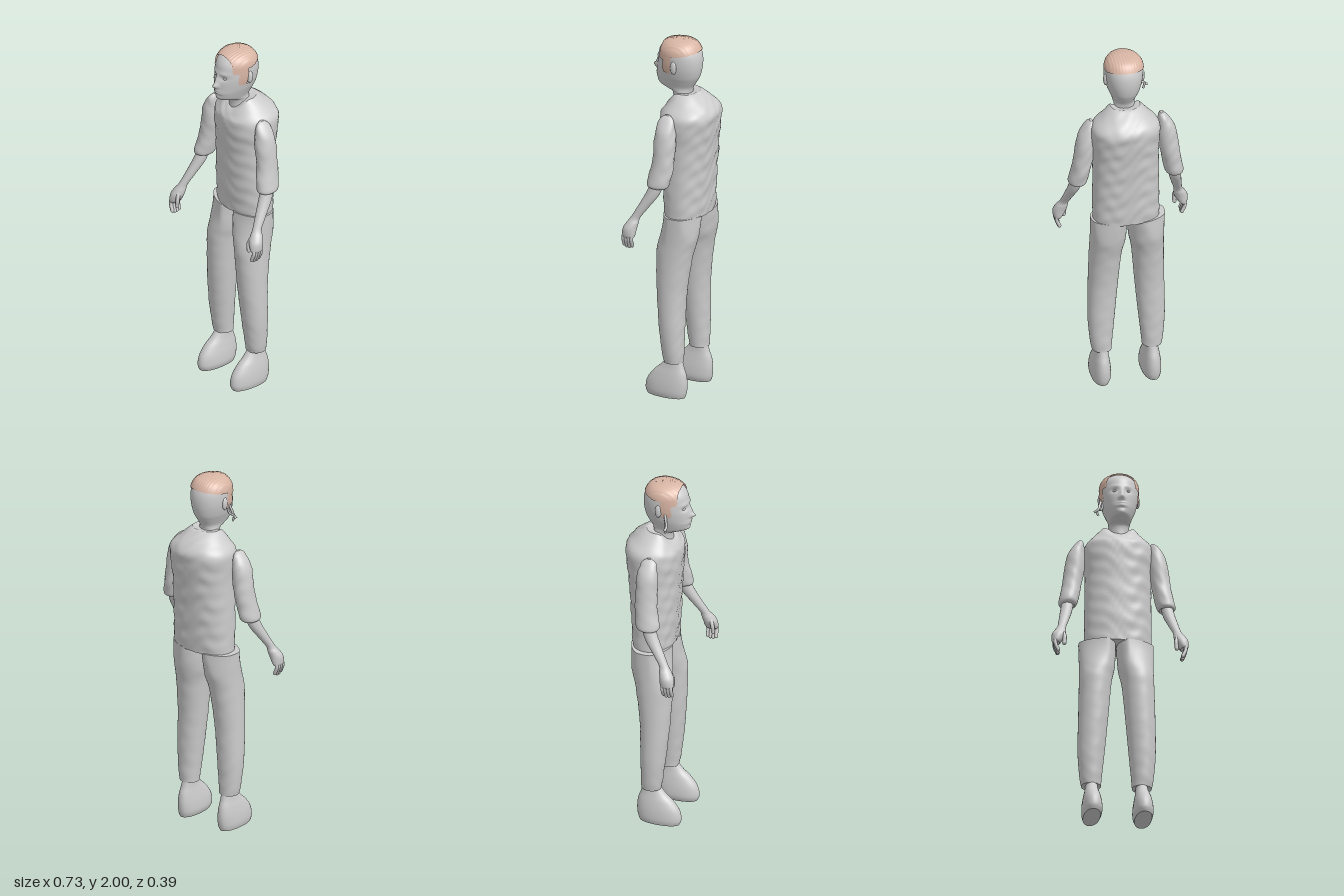
import * as THREE from 'three';

const grey = new THREE.MeshStandardMaterial({ color: 0xcccccc });
grey.name = 'plain grey';
const peach = new THREE.MeshStandardMaterial({ color: 0xd9b6a5, side: THREE.DoubleSide });
peach.name = 'peach hair';

// Smooth skin through horizontal sections [y, xMin, xMax, zMin, zMax].
// side -1 mirrors it; bend(p, angle) shapes vertices; keep(p) trims faces.
function loft(sections, { side = 1, seg = 32, sub = 5, power = 2, bend, keep } = {}) {
  const rows = sections.map(([y, a, b, c, d]) => (side > 0 ? [y, a, b, c, d] : [y, -b, -a, c, d]))
    .sort((p, q) => p[0] - q[0]);
  const pos = [], index = [], last = (rows.length - 1) * sub;
  const at = (i, k) => rows[Math.min(rows.length - 1, Math.max(0, i))][k];
  const round = v => Math.sign(v) * Math.abs(v) ** (2 / power);
  for (let r = 0; r <= last; r++) {
    const i = Math.min(rows.length - 2, Math.floor(r / sub)), t = r / sub - i;
    const [y, x0, x1, z0, z1] = [0, 1, 2, 3, 4].map(k => {
      const p = at(i - 1, k), a = at(i, k), b = at(i + 1, k), q = at(i + 2, k);
      return a + 0.5 * t * (b - p + t * (2 * p - 5 * a + 4 * b - q + t * (3 * (a - b) + q - p)));
    });
    for (let j = 0; j < seg; j++) {
      const angle = j / seg * Math.PI * 2;
      const p = new THREE.Vector3(
        (x0 + x1) / 2 + (x1 - x0) / 2 * round(Math.cos(angle)), y,
        (z0 + z1) / 2 + (z1 - z0) / 2 * round(Math.sin(angle)));
      if (bend) bend(p, angle);
      pos.push(p.x, p.y, p.z);
    }
  }
  const kept = (...ids) => !keep || ids.every(n => keep({ x: pos[n * 3], y: pos[n * 3 + 1], z: pos[n * 3 + 2] }));
  for (let r = 0; r < last; r++) for (let j = 0; j < seg; j++) {
    const a = r * seg + j, b = r * seg + (j + 1) % seg, c = a + seg, d = b + seg;
    if (kept(a, b, c, d)) index.push(a, c, b, b, c, d);
  }
  // End caps with their own vertices, so that the rims stay sharp
  for (const r of [0, last]) {
    if (keep && r === 0) continue;
    const start = pos.length / 3, mid = [0, 0, 0];
    for (let j = 0; j < seg; j++) for (let k = 0; k < 3; k++) {
      const v = pos[(r * seg + j) * 3 + k];
      pos.push(v);
      mid[k] += v / seg;
    }
    pos.push(...mid);
    for (let j = 0; j < seg; j++) {
      const a = start + j, b = start + (j + 1) % seg;
      index.push(start + seg, ...(r === 0 ? [a, b] : [b, a]));
    }
  }
  const g = new THREE.BufferGeometry();
  g.setAttribute('position', new THREE.Float32BufferAttribute(pos, 3));
  g.setIndex(index);
  g.computeVertexNormals();
  return g;
}

function tube(points, radius) {
  const curve = new THREE.CatmullRomCurve3(points.map(p => new THREE.Vector3(...p)));
  return new THREE.TubeGeometry(curve, 10, radius, 8);
}

const bump = (d, width) => Math.exp(-((d / width) ** 2));

const TORSO = [
  [1.03, -.168, .188, -.145, .075], [1.15, -.168, .19, -.153, .085], [1.3, -.166, .188, -.162, .092],
  [1.45, -.164, .19, -.176, .1], [1.55, -.17, .2, -.188, .108], [1.61, -.165, .192, -.19, .102],
  [1.66, -.122, .144, -.152, .088], [1.7, -.082, .102, -.1, .065], [1.71, -.07, .09, -.08, .055]];
const LEG = [
  [1.035, .002, .2, -.145, .095], [.9, .009, .198, -.125, .1], [.8, .028, .2, -.1, .1], [.6, .046, .205, -.072, .09],
  [.4, .064, .208, -.065, .072], [.26, .078, .198, -.062, .055], [.2, .083, .188, -.06, .045]];
const FOOT = [
  [0, .092, .183, -.072, .15], [.03, .082, .19, -.082, .16], [.08, .084, .188, -.086, .15], [.13, .092, .18, -.08, .115],
  [.17, .099, .171, -.066, .072], [.21, .102, .165, -.055, .042], [.25, .103, .164, -.05, .035]];
const SLEEVE = [
  [1.625, .183, .198, -.014, .014], [1.6, .174, .225, -.042, .042], [1.54, .17, .262, -.057, .055],
  [1.45, .172, .28, -.062, .058], [1.37, .188, .29, -.06, .06], [1.3, .2, .303, -.055, .074],
  [1.25, .213, .312, -.045, .08], [1.235, .225, .3, -.03, .065]];
const FOREARM = [
  [1.29, .23, .29, -.025, .045], [1.2, .241, .305, .003, .08], [1.12, .265, .319, .058, .12],
  [1.06, .285, .331, .1, .152], [1.03, .287, .35, .106, .172], [1, .292, .364, .112, .188], [.965, .31, .364, .116, .192],
  [.95, .322, .358, .122, .186]];
const HEAD = [
  [1.62, -.045, .065, -.05, .06], [1.7, -.045, .065, -.045, .065], [1.718, -.047, .067, -.047, .105],
  [1.735, -.052, .072, -.053, .145], [1.77, -.066, .086, -.074, .16], [1.8, -.077, .097, -.088, .159],
  [1.85, -.088, .108, -.098, .156], [1.9, -.091, .111, -.098, .147], [1.94, -.087, .107, -.087, .136],
  [1.97, -.069, .089, -.067, .112], [1.986, -.04, .06, -.038, .08], [1.993, -.004, .024, .01, .04]];

// Cloth creases
const crease = size => p => {
  const w = Math.sin(p.y * 62 + p.x * 23 + Math.sin(p.x * 31) * 2) * Math.sin(p.x * 38 + p.z * 27 + p.y * 17);
  p.z += size * w;
};

// Shirt with a neckline that dips at the front
function shirt(p, angle) {
  crease(.0035)(p);
  if (p.y > 1.6) p.y -= (p.y - 1.6) * .5 * Math.max(0, Math.sin(angle)) ** 2;
}

// Trouser leg whose top follows the oval of the waist
function trouser(p) {
  crease(.0012)(p);
  const blend = THREE.MathUtils.smoothstep(p.y, .8, 1.03);
  const half = .117 * Math.sqrt(Math.max(0, 1 - (p.x / .206) ** 2));
  const fitted = THREE.MathUtils.clamp(p.z, -.032 - half, -.032 + half);
  p.z += (fitted - p.z) * blend;
}

// Skull narrowing to the front
function narrow(p, angle) {
  p.x -= (p.x - .01) * .13 * Math.max(0, Math.sin(angle));
}

// Brow, eye sockets, nose, lips and chin
function face(p, angle) {
  narrow(p, angle);
  if (Math.sin(angle) < 0 || p.y < 1.71) return;
  const x = p.x - .01, y = p.y, ex = Math.abs(x) - .034;
  p.z += .026 * bump(x, .016) * bump(y - 1.82, .015) + .013 * bump(x, .012) * bump(y - 1.85, .025)
    - .011 * bump(ex, .02) * bump(y - 1.867, .013) + .004 * bump(ex, .03) * bump(y - 1.893, .01)
    + .006 * bump(x, .022) * bump(y - 1.791, .006) + .005 * bump(x, .02) * bump(y - 1.776, .006)
    - .004 * bump(x, .028) * bump(y - 1.762, .007) + .006 * bump(x, .022) * bump(y - 1.737, .012);
}

// Hair combed front to back
function comb(p, angle) {
  narrow(p, angle);
  p.y += .001 * Math.sin(p.x * 420);
}

const hairline = p => p.z < .112 && (p.y > 1.922 + Math.max(0, -p.z) * .2
  || (p.z > .025 && p.z < .085 && p.y > 1.825) || (p.z > .025 && p.y > 1.895));

export function createModel() {
  const model = new THREE.Group();
  model.name = 'standingMan';
  const add = (name, geometry, material = grey) => {
    const mesh = new THREE.Mesh(geometry, material);
    mesh.name = name;
    model.add(mesh);
    return mesh;
  };

  add('shirt', loft(TORSO, { seg: 64, sub: 10, power: 2.25, bend: shirt }));
  add('head', loft(HEAD, { seg: 96, sub: 8, power: 2.15, bend: face }));

  // Hair cap just outside the skull
  const cap = HEAD.map(([y, a, b, c, d]) => [y + .006, a - .006, b + .006, c - .003, d + .005]);
  add('hair', loft(cap, { seg: 128, sub: 12, power: 2.15, keep: hairline, bend: comb }), peach);

  for (const side of [1, -1]) {
    const word = side > 0 ? 'left' : 'right';
    const flip = points => points.map(([x, y, z]) => [x * side, y, z]);
    add(word + 'TrouserLeg', loft(LEG, { side, seg: 48, sub: 8, power: 2.1, bend: trouser }));
    add(word + 'Shoe', loft(FOOT, { side, power: 2.2 }));
    add(word + 'Sleeve', loft(SLEEVE, { side, bend: crease(.003) }));
    add(word + 'Forearm', loft(FOREARM, { side, seg: 20 }));

    // Four curled fingers and a thumb
    for (let i = 0; i < 4; i++) {
      const z = .13 + i * .016, tip = .902 - .008 * Math.sin(i * 1.05);
      add(word + 'Finger', tube(flip([[.343, .98, z], [.347, .94, z + .002], [.332, tip, z + .004]]), .01));
      add(word + 'Fingertip', new THREE.SphereGeometry(.01, 10, 8)).position.set(.332 * side, tip, z + .004);
    }
    add(word + 'Thumb', tube(flip([[.306, 1.02, .16], [.297, .985, .174], [.3, .945, .176]]), .011));
    add(word + 'ThumbTip', new THREE.SphereGeometry(.011, 10, 8)).position.set(.3 * side, .945, .176);

    // Eye and ear
    const eye = add(word + 'Eye', new THREE.SphereGeometry(.011, 16, 12));
    eye.position.set(.01 + .034 * side, 1.866, .13);
    eye.scale.set(1.2, .7, 1);
    const ear = add(word + 'Ear', new THREE.SphereGeometry(.03, 16, 12));
    ear.position.set(.01 + .1 * side, 1.862, .012);
    ear.scale.set(.4, 1.2, .6);
  }

  // Loose strands below the right ear
  add('looseStrand', tube([[-.085, 1.85, .05], [-.098, 1.81, .06], [-.105, 1.785, .065], [-.128, 1.77, .06]], .007));
  add('looseStrand', tube([[-.08, 1.83, .045], [-.088, 1.79, .055], [-.112, 1.785, .06], [-.105, 1.75, .06]], .006));
  return model;
}
